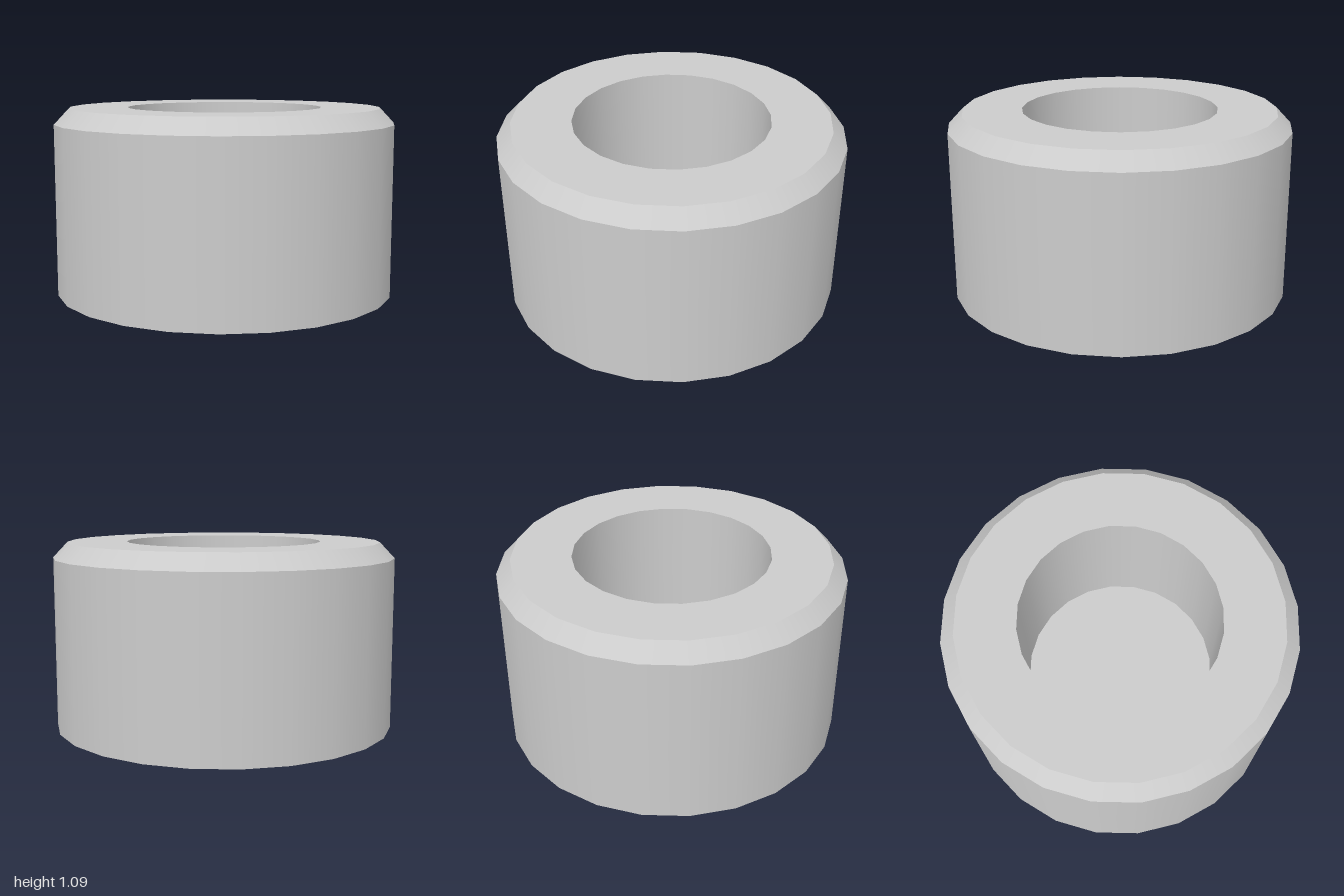
import * as THREE from 'three';

const SIDES = 24;

// Profile from the underside centre, up the outside and down into the bore.
const profile = [
  ['base', 0, 0],
  ['outerWall', 1, 0],
  ['bevel', 1, 1],
  ['topRim', 0.915, 1.09],
  ['boreWall', 0.57, 1.09],
  ['boreFloor', 0.57, 0.25],
  ['end', 0, 0.25],
];

export function createModel() {
  const group = new THREE.Group();
  group.name = 'ring';
  const material = new THREE.MeshStandardMaterial({ color: 0xcccccc });

  // One lathe per profile segment keeps the edges between bands sharp.
  for (let i = 0; i < profile.length - 1; i++) {
    const [name, r0, y0] = profile[i];
    const [, r1, y1] = profile[i + 1];
    const band = new THREE.LatheGeometry(
      [new THREE.Vector2(r0, y0), new THREE.Vector2(r1, y1)], SIDES);
    const mesh = new THREE.Mesh(band, material);
    mesh.name = name;
    group.add(mesh);
  }
  return group;
}
